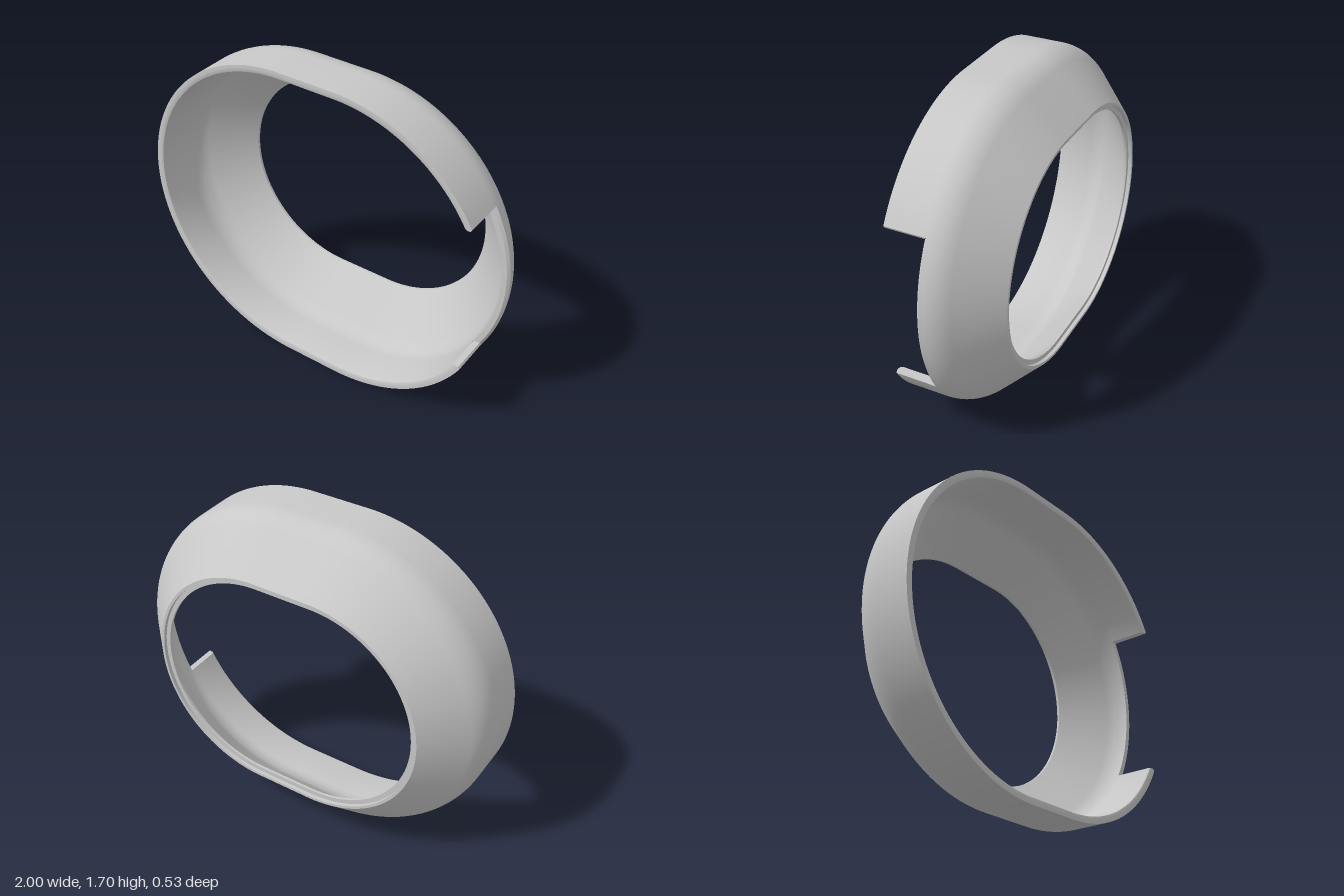
import * as THREE from 'three';
import { toCreasedNormals } from 'three/addons/utils/BufferGeometryUtils.js';

const CY = 0.85, HALF = 0.15;          // centre height, half length of the straight sides
const CUT_Z = 0.06, CUT_H = 0.405;     // depth and half height of the side notch
const EASE = 0.012;                    // softened outer edge around the notch
const FRONT = 0.265, BACK = -0.265;
const RAD = Math.PI / 180, QUARTER = Math.PI / 2;

const at = (cx, theta, r, z) => new THREE.Vector3(cx + r * Math.cos(theta), CY + r * Math.sin(theta), z);

// Joins closed cross-sections into a closed ring, leaving out collapsed faces
function ringSkin(sections) {
  const n = sections[0].length, m = sections.length, pts = [];
  const tri = new THREE.Triangle();
  const face = (a, b, c) => {
    if (tri.set(a, b, c).getArea() > 1e-5) pts.push(a, b, c);
  };
  for (let i = 0; i < m; i++) {
    const s = sections[i], t = sections[(i + 1) % m];
    for (let j = 0; j < n; j++) {
      const k = (j + 1) % n;
      face(s[j], s[k], t[j]);
      face(s[k], t[k], t[j]);
    }
  }
  return toCreasedNormals(new THREE.BufferGeometry().setFromPoints(pts), 30 * RAD);
}

// Bend from the upright wall into the 45 degree slope
function bend(rWall, zStart, radius) {
  const pts = [];
  for (let k = 0; k <= 8; k++) {
    const a = k / 8 * 45 * RAD;
    pts.push([rWall - radius * (1 - Math.cos(a)), zStart - radius * Math.sin(a)]);
  }
  return pts;
}

export function createModel() {
  const group = new THREE.Group();
  const grey = new THREE.MeshStandardMaterial({ color: 0xc8c8c8 });
  grey.name = 'grey';

  // Cross-section: outer wall and slope, stepped back rim, inner slope and wall, rounded front lip
  const profile = [
    [0.85, FRONT],
    ...bend(0.85, 0.063, 0.2),
    [0.605, BACK], [0.59, BACK], [0.59, -0.245], [0.565, -0.245], [0.565, -0.232],
    ...bend(0.81, 0.07, 0.16).reverse(),
    [0.81, 0.251], [0.814, 0.261], [0.824, FRONT], [0.838, FRONT],
  ];

  // Angle of the level notch edge at each radius
  const edge = r => Math.asin((CUT_H + (r > 0.84 ? EASE : 0)) / Math.max(r, 0.81));
  const full = (cx, angle) => profile.map(([r, z]) => at(cx, angle(r), r, z));
  const cut = angle => profile.map(([r, z]) =>
    at(HALF, angle(r), r, Math.min(z, r > 0.84 ? CUT_Z - EASE : CUT_Z)));

  // Once round: the notch, up to the top, the far side, then back up to the notch
  const sections = [];
  for (let i = -14; i <= 14; i++) sections.push(cut(r => edge(r) * i / 14));
  for (let i = 0; i <= 32; i++) sections.push(full(HALF, r => THREE.MathUtils.lerp(edge(r), QUARTER, i / 32)));
  for (let i = 0; i <= 90; i++) sections.push(full(-HALF, () => QUARTER + i * 2 * RAD));
  for (let i = 0; i <= 32; i++) sections.push(full(HALF, r => -THREE.MathUtils.lerp(QUARTER, edge(r), i / 32)));

  const ring = new THREE.Mesh(ringSkin(sections), grey);
  ring.name = 'notchedBezelRing';
  group.add(ring);
  return group;
}
